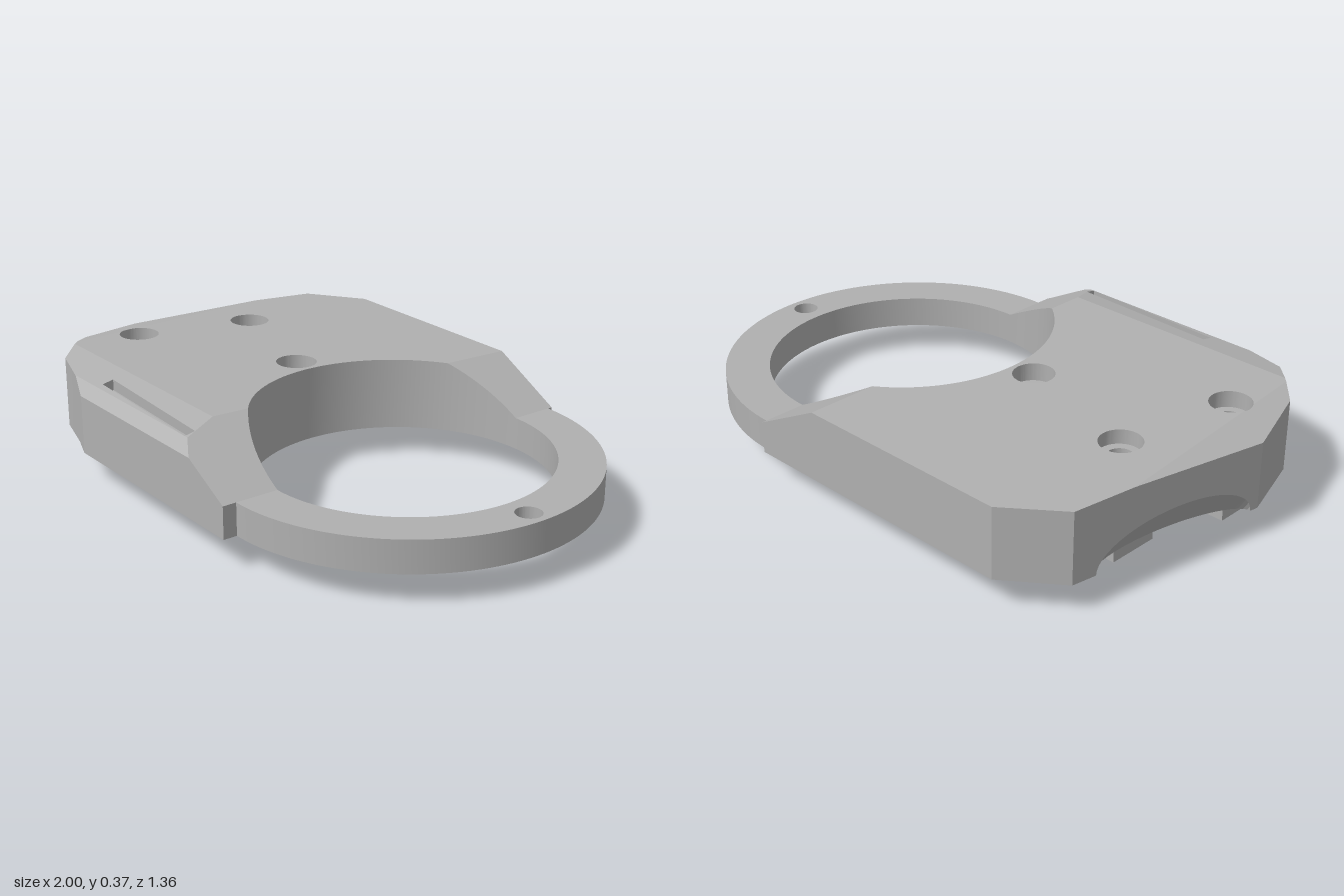
import * as THREE from 'three';
import { toCreasedNormals } from 'three/addons/utils/BufferGeometryUtils.js';

const BASE = 0.105, CX = 0.35, CZ = -0.018, R_IN = 0.494, R_OUT = 0.645, SEG = 64;

// The top of the body is the lowest of these sloping planes
const PLANES = [
  (x, z) => 0.361 + 0.0175 * z,             // main top
  (x) => 0.37 + (x + 0.85) * 0.233,         // outer end
  (x, z) => 0.37 - (z - 0.51) * 0.2,        // front shallow bevel
  (x, z) => 0.345 - (z - 0.635) * 0.875,    // front steep bevel
  (x) => 0.215 + (0.35 - x) * 0.52,         // ramp down to the ring
];

const lerp = (a, b, t) => a.map((v, i) => v + (b[i] - v) * t);

// Keep the part of a polygon where f >= 0
function clip(poly, f) {
  const out = [];
  poly.forEach((a, i) => {
    const b = poly[(i + 1) % poly.length], fa = f(a), fb = f(b);
    if (fa >= 0) out.push(a);
    if ((fa >= 0) !== (fb >= 0)) out.push(lerp(a, b, fa / (fa - fb)));
  });
  return out;
}

function clipToPlane(poly, k, isSegment) {
  PLANES.forEach((g, j) => {
    if (j === k || poly.length < 2) return;
    poly = clip(poly, (p) => g(p[0], p[1]) - PLANES[k](p[0], p[1]));
    if (isSegment) poly = poly.slice(0, 2);
  });
  return poly;
}

// Arc as [x, z, baseHeight] points
function arc(cx, cz, r, base, from = 0, to = Math.PI * 2, n = SEG, closed = true) {
  const pts = [];
  for (let i = 0; i < (closed ? n : n + 1); i++) {
    const a = from + (to - from) * i / n;
    pts.push([cx + r * Math.cos(a), cz + r * Math.sin(a), base]);
  }
  return pts;
}

function bodyGeometry(screws, blind, slot) {
  const pos = [];
  const tri = (a, b, c) => {
    const n = new THREE.Vector3().subVectors(new THREE.Vector3(...b), new THREE.Vector3(...a))
      .cross(new THREE.Vector3().subVectors(new THREE.Vector3(...c), new THREE.Vector3(...a)));
    if (n.length() > 1e-9) pos.push(...a, ...b, ...c);
  };
  const quad = (a, b, c, d) => { tri(a, b, c); tri(a, c, d); };
  const fan = (p, up) => {
    for (let i = 1; i < p.length - 1; i++) {
      const [a, b, c] = [p[0], p[i], p[i + 1]];
      const ny = (b[2] - a[2]) * (c[0] - a[0]) - (b[0] - a[0]) * (c[2] - a[2]);
      if ((ny > 0) === up) tri(a, b, c); else tri(a, c, b);
    }
  };
  const triangulate = (outer, holes) => {
    const v = (l) => l.map((p) => new THREE.Vector2(p[0], p[1]));
    const all = [outer, ...holes].flat();
    return THREE.ShapeUtils.triangulateShape(v(outer), holes.map(v)).map((t) => t.map((i) => all[i]));
  };
  const flat = (outer, holes, y, up) =>
    triangulate(outer, holes).forEach((t) => fan(t.map((p) => [p[0], y, p[1]]), up));

  // Outline, with a scooped notch under the long outer edge
  const e0 = [-0.875, -0.54, BASE], e1 = [-1, 0.17, BASE], scoop = [], recess = [];
  for (let i = 0; i <= 24; i++) {
    const u = -Math.cos(Math.PI * i / 24), s = Math.sqrt(Math.max(0, 1 - u * u));
    const p = lerp(e0, e1, 0.54 + 0.42 * u);
    scoop.push([p[0], p[1], BASE + 0.125 * s]);
    recess.push([p[0] + 0.08 * s, p[1] + 0.014 * s, BASE]);
  }
  const ring = (mid) => [
    [CX, -0.68, BASE], [-0.69, -0.68, BASE], e0, ...mid, e1,
    [-0.92, 0.42, BASE], [-0.76, 0.59, BASE], [-0.6, 0.637, BASE], [-0.5, 0.675, BASE], [CX, 0.675, BASE],
    ...arc(CX, CZ, R_IN, BASE, Math.PI / 2, Math.PI * 1.5, SEG, false),
  ];
  const outline = ring(scoop);
  const pockets = [...screws, blind].map((s) => arc(s.x, s.z, 0.07, s.floor));
  const bores = screws.map((s) => arc(s.x, s.z, 0.042, BASE));

  // Top faces
  triangulate(outline, [...pockets, slot]).forEach((t) => PLANES.forEach((h, k) => {
    fan(clipToPlane(t, k, false).map((p) => [p[0], h(p[0], p[1]), p[1]]), true);
  }));
  // Outer, opening and pocket walls
  [outline, ...pockets, slot].forEach((loop) => loop.forEach((a, i) => {
    const b = loop[(i + 1) % loop.length];
    PLANES.forEach((h, k) => {
      const s = clipToPlane([a, b], k, true);
      if (s.length < 2) return;
      const [p, q] = s;
      quad([p[0], p[2], p[1]], [q[0], q[2], q[1]],
        [q[0], h(q[0], q[1]), q[1]], [p[0], h(p[0], p[1]), p[1]]);
    });
  }));
  // Scoop surface
  for (let i = 0; i < 24; i++) {
    const at = (l, j) => [l[j][0], l[j][2], l[j][1]];
    quad(at(recess, i), at(recess, i + 1), at(scoop, i + 1), at(scoop, i));
  }
  // Underside and pocket floors
  flat(ring(recess), bores, BASE, false);
  flat(pockets[2], [], blind.floor, true);
  flat(slot, [], slot[0][2], true);
  screws.forEach((s, n) => {
    flat(pockets[n], [bores[n]], s.floor, true);
    bores[n].forEach((a, i) => {
      const b = bores[n][(i + 1) % SEG];
      quad([a[0], BASE, a[1]], [b[0], BASE, b[1]], [b[0], s.floor, b[1]], [a[0], s.floor, a[1]]);
    });
  });
  const g = new THREE.BufferGeometry();
  g.setAttribute('position', new THREE.Float32BufferAttribute(pos, 3));
  return toCreasedNormals(g, 0.12);
}

// Plan shape (x, z) extruded downwards from a given height
function slab(shape, top, depth) {
  const g = new THREE.ExtrudeGeometry(shape, { depth, bevelEnabled: false, curveSegments: SEG });
  g.rotateX(Math.PI / 2).translate(0, top, 0);
  return toCreasedNormals(g, 0.12);
}

function addHole(shape, x, z, r) {
  shape.holes.push(new THREE.Path().absarc(x, z, r, 0, Math.PI * 2, true));
}

export function createModel() {
  const group = new THREE.Group();
  const grey = new THREE.MeshStandardMaterial({ color: 0xb0b0b0 });
  grey.name = 'grey';
  const add = (name, geometry) => {
    const m = new THREE.Mesh(geometry, grey);
    m.name = name;
    group.add(m);
  };

  const screws = [{ x: -0.715, z: -0.155, floor: 0.31 }, { x: -0.805, z: 0.265, floor: 0.31 }];
  const blind = { x: -0.23, z: -0.018, floor: 0.3 };
  const slot = [[-0.46, 0.572, 0.32], [0.085, 0.597, 0.32], [0.085, 0.635, 0.32], [-0.46, 0.612, 0.32]];
  add('body', bodyGeometry(screws, blind, slot));

  // Half ring around the large opening
  const half = new THREE.Shape();
  half.absarc(CX, CZ, R_OUT, -Math.PI / 2, Math.PI / 2, false);
  half.absarc(CX, CZ, R_IN, Math.PI / 2, -Math.PI / 2, true);
  addHole(half, 0.93, CZ, 0.043);
  add('ring', slab(half, 0.215, 0.11));

  // Bored feet under the screw holes
  screws.forEach(({ x, z }, i) => {
    const w = 0.067, d = 0.0925;
    const s = new THREE.Shape([[-w, -d], [w, -d], [w, d], [-w, d]].map(([a, b]) => new THREE.Vector2(x + a, z + b)));
    addHole(s, x, z, 0.042);
    add(i ? 'frontFoot' : 'backFoot', slab(s, BASE, BASE));
  });
  return group;
}
